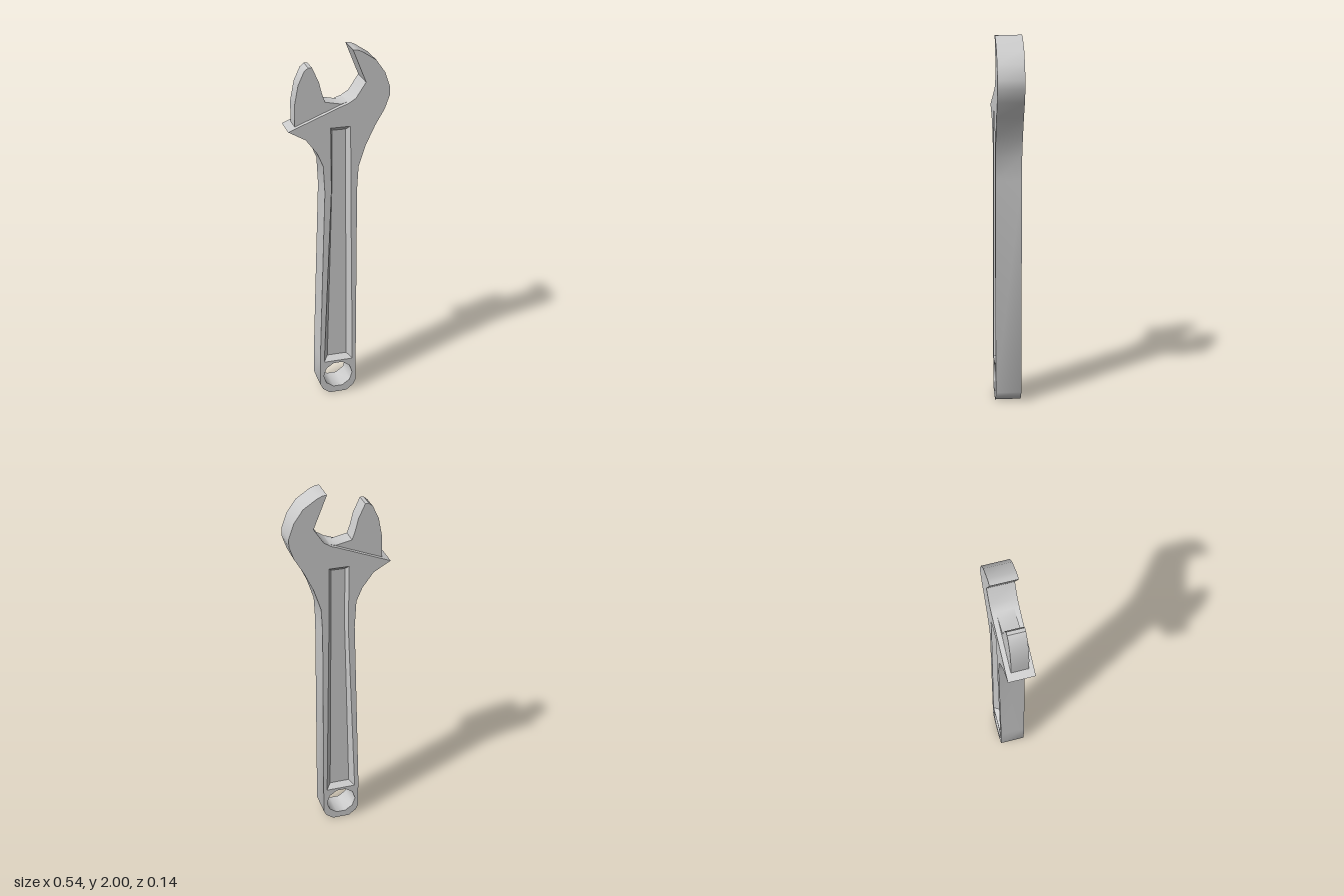
import * as THREE from 'three';
import { toCreasedNormals } from 'three/addons/utils/BufferGeometryUtils.js';

const HALF = 0.07;   // half thickness of the body
const FLOOR = 0.04;  // z of the handle recess floor
const JAW = 0.045;   // half thickness of the movable jaw
const CREASE = 0.87;

const material = new THREE.MeshStandardMaterial({ color: 0xcccccc });
const toPoints = (list) => list.map(([x, y]) => new THREE.Vector2(x, y));

// Body outline, counter-clockwise from the bottom of the handle
const outline = toPoints([
  [-0.055, 0], [0.04, 0], [0.08, 0.03], [0.095, 0.06], [0.095, 1.24], [0.102, 1.37], [0.14, 1.485],
  [0.19, 1.59], [0.24, 1.675], [0.265, 1.745], [0.266, 1.79], [0.238, 1.87], [0.19, 1.938],
  [0.115, 1.988], [0.09, 1.998], [0.068, 2], [0.138, 1.825], [0.085, 1.745], [0.045, 1.72],
  [0.015, 1.71], [-0.27, 1.597], [-0.18, 1.545], [-0.12, 1.465], [-0.088, 1.39],
  [-0.08, 1.24], [-0.11, 0.24], [-0.11, 0.06], [-0.095, 0.03],
]);

// Movable jaw; its lower edge is buried in the body
const jawOutline = toPoints([
  [-0.23, 1.6], [0.0, 1.68], [0.06, 1.725], [0.015, 1.712], [-0.07, 1.73], [-0.086, 1.775],
  [-0.102, 1.84], [-0.138, 1.918], [-0.157, 1.918], [-0.178, 1.9], [-0.21, 1.83], [-0.23, 1.725],
]);

// Openings, clockwise: hanging hole, and the rim and floor of the recess
const hole = Array.from({ length: 10 }, (_, i) => {
  const a = -i * Math.PI / 5;
  return new THREE.Vector2(-0.008 + 0.083 * Math.cos(a), 0.114 + 0.08 * Math.sin(a));
});
const rim = toPoints([[-0.088, 0.205], [-0.045, 1.24], [-0.048, 1.597], [0.058, 1.597], [0.061, 1.24], [0.075, 0.205]]);
const floor = toPoints([[-0.062, 0.23], [-0.034, 1.24], [-0.034, 1.573], [0.039, 1.573], [0.041, 1.24], [0.048, 0.23]]);

// Wall between a front loop and a back loop with matching points
function wall(front, zFront, back, zBack) {
  const n = front.length, pos = [], index = [];
  front.forEach((p) => pos.push(p.x, p.y, zFront));
  back.forEach((p) => pos.push(p.x, p.y, zBack));
  for (let i = 0; i < n; i++) {
    const j = (i + 1) % n;
    index.push(n + i, n + j, i, n + j, j, i);
  }
  const g = new THREE.BufferGeometry();
  g.setAttribute('position', new THREE.Float32BufferAttribute(pos, 3));
  g.setIndex(index);
  return g;
}

// Flat face with optional openings
function face(points, z, holes = []) {
  const shape = new THREE.Shape(points);
  holes.forEach((h) => shape.holes.push(new THREE.Path(h)));
  return new THREE.ShapeGeometry(shape).translate(0, 0, z);
}

// Mirror front to back, keeping faces outward
function mirrorZ(g) {
  const m = g.clone().scale(1, 1, -1);
  m.index.array.reverse();
  return m;
}

function add(group, name, geometry, crease = CREASE) {
  geometry.computeVertexNormals();
  const mesh = new THREE.Mesh(toCreasedNormals(geometry, crease), material);
  mesh.name = name;
  group.add(mesh);
}

export function createModel() {
  const wrench = new THREE.Group();
  wrench.name = 'adjustableWrench';

  // Body: edge, hanging hole, and a recessed face on both sides
  const body = new THREE.Group();
  body.name = 'body';
  add(body, 'bodyEdge', wall(outline, HALF, outline, -HALF));
  add(body, 'hangingHole', wall(hole, HALF, hole, -HALF));
  const sides = {
    BodyFace: face(outline, HALF, [hole, rim]),
    RecessBevel: wall(rim, HALF, floor, FLOOR),
    RecessFloor: face(floor, FLOOR),
  };
  for (const [name, geometry] of Object.entries(sides)) {
    add(body, 'front' + name, geometry, 0.3);
    add(body, 'back' + name, mirrorZ(geometry), 0.3);
  }
  wrench.add(body);

  // Movable jaw
  const jaw = new THREE.Group();
  jaw.name = 'movableJaw';
  const jawFace = face(jawOutline, JAW);
  add(jaw, 'jawEdge', wall(jawOutline, JAW, jawOutline, -JAW), 0.6);
  add(jaw, 'frontJawFace', jawFace);
  add(jaw, 'backJawFace', mirrorZ(jawFace));
  wrench.add(jaw);

  return wrench;
}
